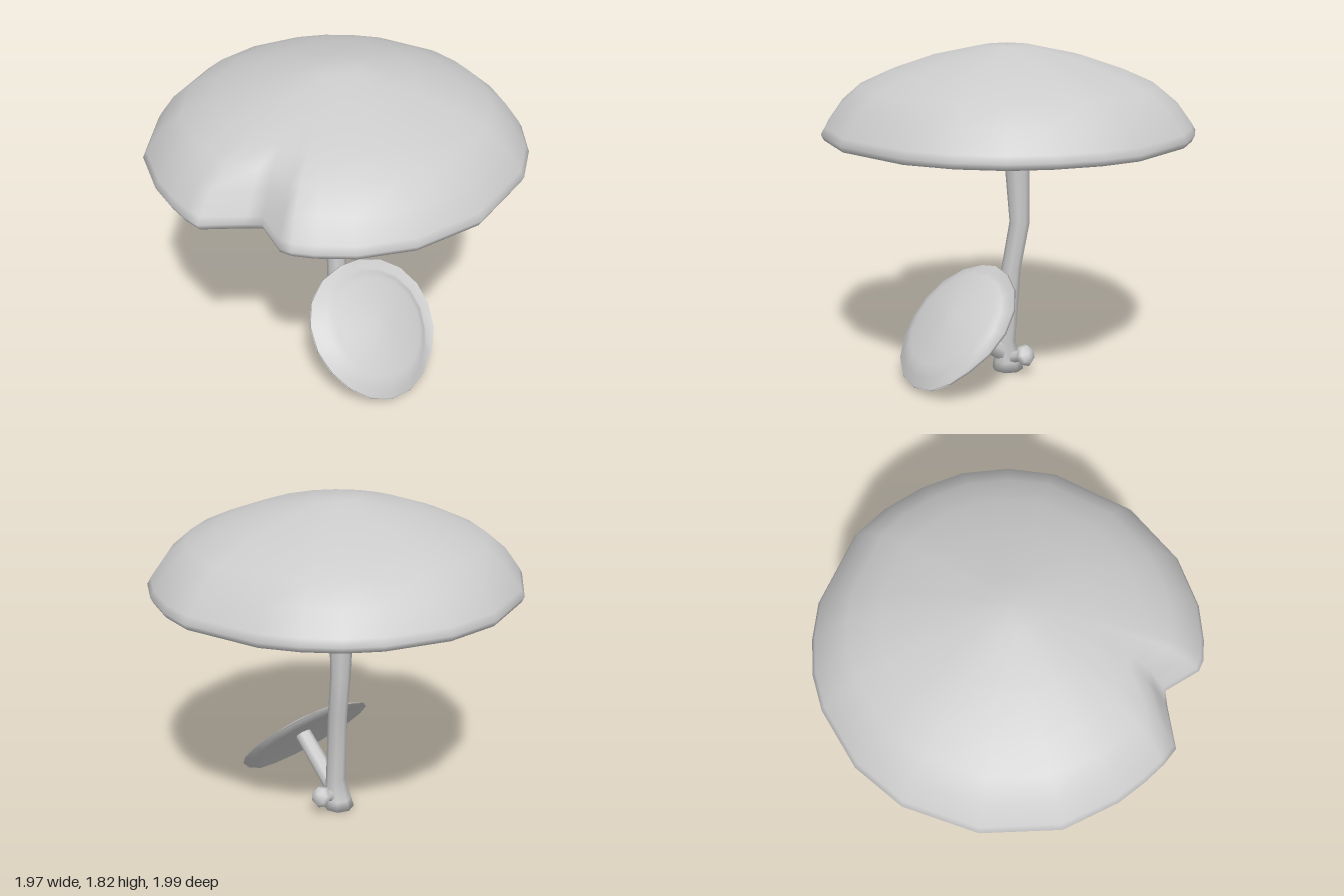
import * as THREE from 'three';

const material = new THREE.MeshStandardMaterial({ color: 0xcccccc, side: THREE.DoubleSide });

// Skins a list of closed rings (each an array of [x, y, z]) with smooth normals.
function loft(name, rings) {
  const n = rings[0].length;
  const index = [];
  for (let i = 0; i < rings.length - 1; i++) {
    for (let j = 0; j < n; j++) {
      const k = (j + 1) % n;
      const a = i * n + j, b = i * n + k, c = a + n, d = b + n;
      index.push(a, c, b, b, c, d);
    }
  }
  const geometry = new THREE.BufferGeometry();
  geometry.setAttribute('position', new THREE.Float32BufferAttribute(rings.flat(2), 3));
  geometry.setIndex(index);
  geometry.computeVertexNormals();
  const mesh = new THREE.Mesh(geometry, material);
  mesh.name = name;
  return mesh;
}

// Ring of n points; fn(angle) gives [x, y, z].
const ring = (n, fn) => Array.from({ length: n }, (_, j) => fn((j / n) * Math.PI * 2));

// Straight tapered stalk between two points.
function stalk(name, from, to, r0, r1) {
  const a = new THREE.Vector3(...from), b = new THREE.Vector3(...to);
  const mesh = new THREE.Mesh(new THREE.CylinderGeometry(r1, r0, a.distanceTo(b), 8), material);
  mesh.position.copy(a).add(b).multiplyScalar(0.5);
  mesh.quaternion.setFromUnitVectors(new THREE.Vector3(0, 1, 0), b.sub(a).normalize());
  mesh.name = name;
  return mesh;
}

// Big cap: rim outline seen from above, with a notch at the front
function bigCap() {
  const outline = [
    [-0.04, -1], [0.17, -0.98], [0.39, -0.91], [0.59, -0.8], [0.77, -0.62], [0.9, -0.4],
    [0.98, 0.04], [0.9, 0.4], [0.75, 0.64], [0.61, 0.77], [0.52, 0.83], [0.46, 0.845],
    [0.27, 0.775], [0.21, 0.83], [0.06, 0.99], [-0.04, 0.99], [-0.17, 0.97], [-0.33, 0.93],
    [-0.6, 0.8], [-0.86, 0.5], [-0.99, 0.13], [-0.985, -0.17], [-0.87, -0.49],
    [-0.76, -0.65], [-0.62, -0.78], [-0.45, -0.89],
  ];
  // [radius, height] from the hollow underside, round the rim, to the crown
  const profile = [
    [0.001, 1.61], [0.25, 1.59], [0.55, 1.51], [0.8, 1.4], [0.88, 1.36], [0.94, 1.345],
    [0.985, 1.355], [1, 1.385], [0.98, 1.42], [0.9, 1.53], [0.79, 1.62], [0.63, 1.69],
    [0.41, 1.765], [0.13, 1.825], [0.001, 1.828],
  ];
  return loft('bigCap', profile.map(([r, y]) => {
    const w = THREE.MathUtils.smoothstep(r, 0.55, 0.95); // outline fades to a circle
    return outline.map(([x, z]) => {
      const s = r * THREE.MathUtils.lerp(1 / Math.hypot(x, z), 1, w);
      return [x * s, y, z * s];
    });
  }));
}

// Bent main stem with flared foot and flared top: [x, y, z, radius]
function mainStem() {
  const sections = [
    [-0.01, 0.01, 0.005, 0.001], [-0.01, 0.005, 0.005, 0.088], [-0.005, 0.06, 0.003, 0.078],
    [0.01, 0.18, 0, 0.056], [-0.02, 0.6, -0.012, 0.054], [-0.064, 0.86, -0.03, 0.056],
    [-0.05, 1.35, -0.012, 0.074], [-0.045, 1.56, -0.01, 0.082], [-0.045, 1.61, -0.01, 0.14],
  ];
  return loft('mainStem', sections.map(([x, y, z, r]) =>
    ring(8, (a) => [x + r * Math.cos(a), y, z + r * Math.sin(a)])));
}

// Leaning small cap with a brim turned up along one side
function smallCap() {
  const R = 0.4;
  // [radius share, height, extra height on the turned-up side]
  const profile = [
    [0.002, 0.03, 0], [0.6, 0.022, 0], [0.85, 0.01, 0], [1, 0, 0.03], [0.99, 0.006, 0.034],
    [0.87, 0.034, -0.012], [0.8, 0.05, -0.006], [0.7, 0.064, 0], [0.4, 0.088, 0],
    [0.15, 0.1, 0], [0.002, 0.102, 0],
  ];
  const cap = loft('smallCap', profile.map(([r, y, lift]) => ring(18, (a) => {
    const side = THREE.MathUtils.smoothstep(Math.cos(a + 2.0), -0.1, 0.6);
    const wobble = 1 + 0.02 * r * Math.sin(3 * a + 1);
    return [R * r * wobble * Math.cos(a), y + lift * side, R * r * wobble * Math.sin(a)];
  })));
  cap.position.set(0.31, 0.315, 0.03);
  cap.quaternion.setFromUnitVectors(
    new THREE.Vector3(0, 1, 0), new THREE.Vector3(0.7, 0.71, 0).normalize());
  return cap;
}

// Tiny bud at the back of the foot
function bud() {
  const group = new THREE.Group();
  group.name = 'bud';
  const profile = [[0.001, 0.008], [0.045, 0], [0.064, 0.002], [0.05, 0.028], [0.02, 0.042], [0.001, 0.044]];
  const cap = loft('budCap', profile.map(([r, y]) =>
    ring(7, (a) => [r * Math.cos(a), y, r * Math.sin(a)])));
  cap.position.set(-0.022, 0.12, -0.135);
  cap.quaternion.setFromUnitVectors(
    new THREE.Vector3(0, 1, 0), new THREE.Vector3(-0.15, 0.45, -0.9).normalize());
  group.add(cap, stalk('budStalk', [0, 0.08, -0.03], [-0.022, 0.125, -0.14], 0.035, 0.03));
  return group;
}

export function createModel() {
  const model = new THREE.Group();
  model.name = 'mushrooms';
  model.add(
    bigCap(),
    mainStem(),
    smallCap(),
    stalk('smallStalk', [0.01, 0.1, 0], [0.33, 0.33, 0.03], 0.052, 0.048),
    bud(),
  );
  return model;
}
